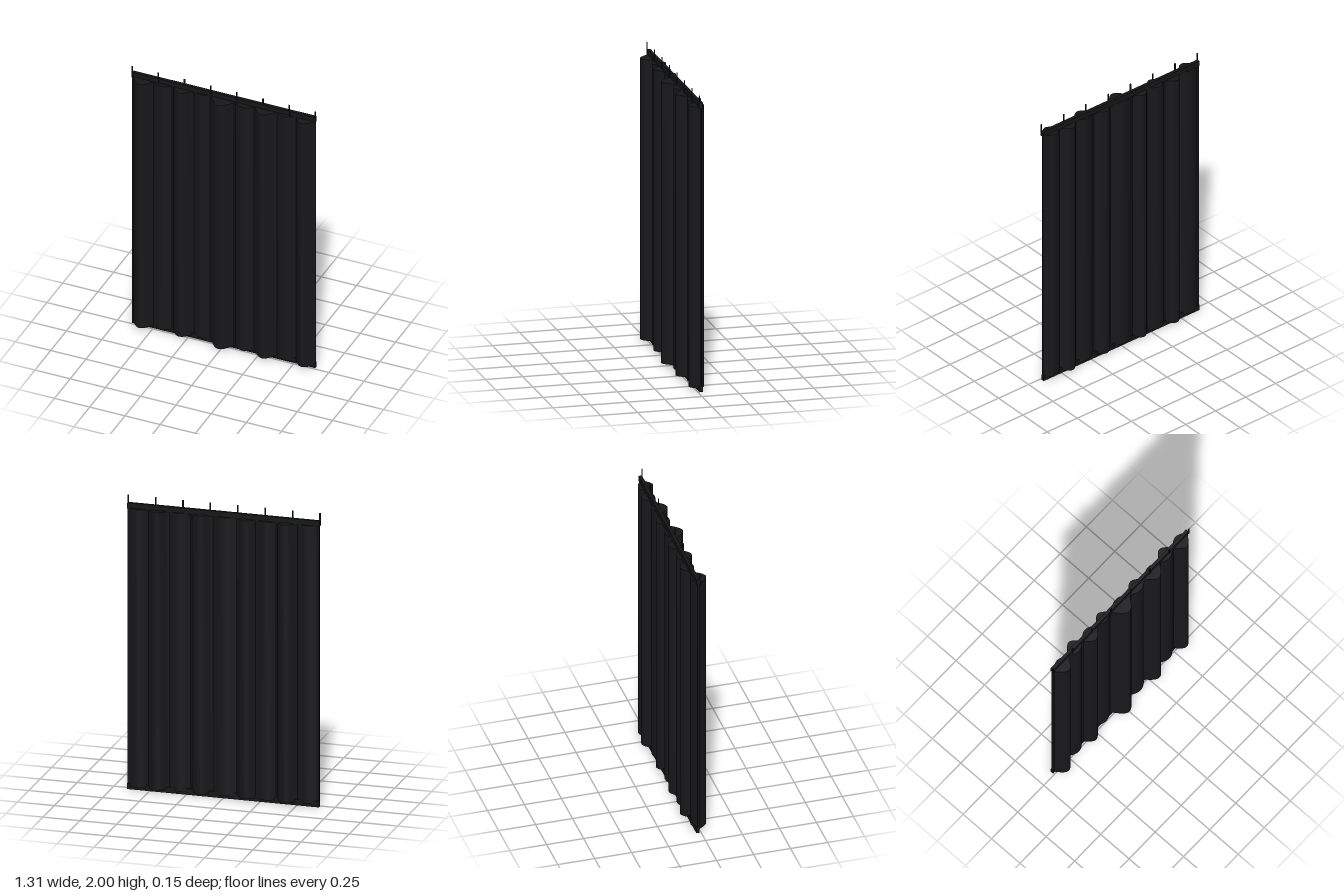
import * as THREE from 'three';
import { toCreasedNormals } from 'three/addons/utils/BufferGeometryUtils.js';

const HALF = 0.65;
const BOTTOM = 0.022, TOP = 1.918;

// Fold crests: x, z of the deep sheet, z of the shallow sheet
const FOLDS = [
  [-0.71, -0.075, 0.01],
  [-0.57, 0.056, -0.046],
  [-0.428, -0.075, 0.015],
  [-0.294, 0.042, -0.056],
  [-0.157, -0.069, 0.003],
  [-0.004, 0.07, -0.05],
  [0.15, -0.063, 0.025],
  [0.3, 0.055, -0.046],
  [0.442, -0.075, 0.014],
  [0.576, 0.042, -0.056],
  [0.71, -0.07, 0.01],
];

// Cosine wave running through the crests of one sheet
function wave(x, column) {
  let i = 0;
  while (i < FOLDS.length - 2 && x > FOLDS[i + 1][0]) i++;
  const a = FOLDS[i], b = FOLDS[i + 1];
  const t = (x - a[0]) / (b[0] - a[0]);
  return THREE.MathUtils.lerp(a[column], b[column], (1 - Math.cos(Math.PI * t)) / 2);
}

// Closed outline around the two crossing sheets, pulled straight up
function drapeGeometry() {
  const steps = 120, front = [], back = [];
  for (let i = 0; i <= steps; i++) {
    const x = -HALF + (2 * HALF * i) / steps;
    const a = wave(x, 1), b = wave(x, 2);
    front.push(new THREE.Vector2(x, -Math.max(a, b) - 0.001));
    back.push(new THREE.Vector2(x, -Math.min(a, b) + 0.001));
  }
  const outline = new THREE.Shape([...front, ...back.reverse()]);
  const geometry = new THREE.ExtrudeGeometry(outline, { depth: TOP - BOTTOM, bevelEnabled: false });
  geometry.rotateX(-Math.PI / 2).translate(0, BOTTOM, 0);
  return toCreasedNormals(geometry, 0.6);
}

export function createModel() {
  const group = new THREE.Group();
  const cloth = new THREE.MeshStandardMaterial({ color: 0x18181b });
  const trim = new THREE.MeshStandardMaterial({ color: 0x141717 });

  const add = (name, geometry, material, x, y, z) => {
    const mesh = new THREE.Mesh(geometry, material);
    mesh.name = name;
    mesh.position.set(x, y, z);
    group.add(mesh);
  };

  add('drape', drapeGeometry(), cloth, 0, 0, 0);

  // Flat bands holding the folds at the head and the hem
  const band = new THREE.BoxGeometry(2 * HALF, 0.04, 0.022);
  add('headBand', band, trim, 0, 1.932, -0.021);
  add('hemBand', band, trim, 0, 0.02, -0.021);

  // Thin hooks standing along the head band
  const hook = new THREE.BoxGeometry(0.009, 0.085, 0.006);
  for (let i = 0; i < 8; i++) {
    add(`hook${i + 1}`, hook, trim, THREE.MathUtils.lerp(-HALF, HALF, i / 7), 1.9575, -0.009);
  }
  return group;
}
